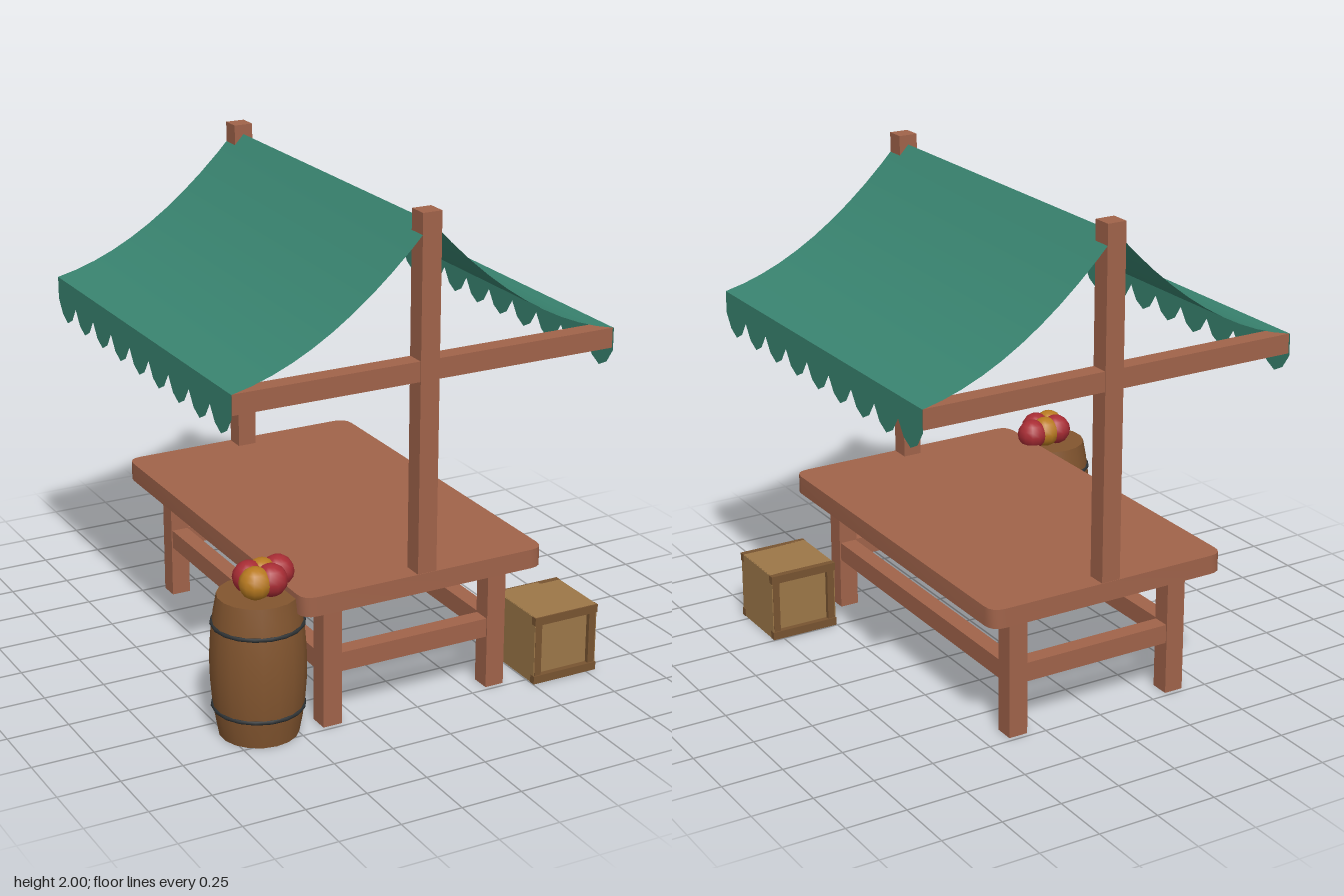
import * as THREE from 'three';
import { toCreasedNormals } from 'three/addons/utils/BufferGeometryUtils.js';

const mat = (color, side = THREE.FrontSide) => new THREE.MeshStandardMaterial({ color, side });
const WOOD = mat(0xa0634a);
const CLOTH = mat(0x398470, THREE.DoubleSide);
const BARREL = mat(0x82552f);
const IRON = mat(0x2e3234);
const CRATE = mat(0x9c7748);
const CRATE_FRAME = mat(0x785431);
const RED = mat(0xa82c34);
const ORANGE = mat(0xb87a20);

function add(parent, name, geometry, material, x = 0, y = 0, z = 0) {
  const mesh = new THREE.Mesh(geometry, material);
  mesh.name = name;
  mesh.position.set(x, y, z);
  parent.add(mesh);
  return mesh;
}

const box = (parent, name, w, h, d, material, x, y, z) =>
  add(parent, name, new THREE.BoxGeometry(w, h, d), material, x, y, z);

function group(parent, name, x = 0, y = 0, z = 0) {
  const g = new THREE.Group();
  g.name = name;
  g.position.set(x, y, z);
  parent.add(g);
  return g;
}

// Table with rounded top corners, square legs and stretchers
function buildTable(parent) {
  const table = group(parent, 'table');
  const w = 0.525, d = 0.81, r = 0.06;
  const s = new THREE.Shape();
  s.moveTo(-w + r, -d);
  s.lineTo(w - r, -d);
  s.quadraticCurveTo(w, -d, w, -d + r);
  s.lineTo(w, d - r);
  s.quadraticCurveTo(w, d, w - r, d);
  s.lineTo(-w + r, d);
  s.quadraticCurveTo(-w, d, -w, d - r);
  s.lineTo(-w, -d + r);
  s.quadraticCurveTo(-w, -d, -w + r, -d);
  const top = new THREE.ExtrudeGeometry(s, { depth: 0.078, bevelEnabled: false, curveSegments: 4 });
  top.rotateX(-Math.PI / 2);
  add(table, 'tableTop', toCreasedNormals(top, 0.6), WOOD, 0, 0.514, 0);
  for (const a of [-1, 1]) {
    for (const b of [-1, 1]) box(table, 'leg', 0.08, 0.516, 0.08, WOOD, a * 0.362, 0.258, b * 0.69);
    box(table, 'sideStretcher', 0.07, 0.078, 1.3, WOOD, a * 0.362, 0.257, 0);
    box(table, 'endStretcher', 0.644, 0.078, 0.07, WOOD, 0, 0.257, a * 0.69);
  }
}

// Two posts, each carrying a cross beam
function buildFrame(parent) {
  const frame = group(parent, 'frame');
  for (const s of [-1, 1]) {
    box(frame, 'post', 0.08, 1.42, 0.08, WOOD, 0, 1.29, s * 0.768);
    box(frame, 'crossBeam', 1.61, 0.08, 0.074, WOOD, 0, 1.4, s * 0.768);
  }
}

// Sagging cloth roof, one sheet per side, with a scalloped valance
function buildAwning(parent) {
  const awning = group(parent, 'awning');
  const reach = 0.808, half = 0.808, scallops = 9, step = (2 * half) / scallops;
  const edge = new THREE.Shape();
  edge.moveTo(-half, 1.44);
  for (let i = 0; i < scallops; i++) {
    const z = -half + i * step;
    edge.lineTo(z, 1.35);
    edge.lineTo(z + step * 0.22, 1.293);
    edge.lineTo(z + step * 0.5, 1.267);
    edge.lineTo(z + step * 0.78, 1.293);
  }
  edge.lineTo(half, 1.35);
  edge.lineTo(half, 1.44);
  for (const side of [-1, 1]) {
    const sheet = new THREE.PlaneGeometry(1, 2 * half, 10, 1);
    sheet.rotateX(-Math.PI / 2);
    const p = sheet.attributes.position;
    for (let i = 0; i < p.count; i++) {
      const t = p.getX(i) + 0.5;
      // keep the upper face outward on both sides
      const k = side > 0 ? t : 1 - t;
      p.setX(i, side * k * reach);
      p.setY(i, 1.96 - 0.52 * k - 0.36 * k * (1 - k));
    }
    sheet.computeVertexNormals();
    add(awning, 'roofSheet', sheet, CLOTH);
    const valance = new THREE.ShapeGeometry(edge);
    valance.rotateY(side * Math.PI / 2);
    add(awning, 'valance', valance, CLOTH, side * reach, 0, 0);
  }
}

// Bulging barrel with two iron hoops and a pile of fruit
function buildBarrel(parent) {
  const barrel = group(parent, 'barrel', -0.625, 0, 0.625);
  const h = 0.57;
  const radius = (y) => 0.185 - 0.03 * ((2 * y) / h - 1) ** 2;
  const profile = [new THREE.Vector2(0, 0)];
  for (let i = 0; i <= 8; i++) profile.push(new THREE.Vector2(radius((i * h) / 8), (i * h) / 8));
  profile.push(new THREE.Vector2(0, h));
  add(barrel, 'barrelBody', toCreasedNormals(new THREE.LatheGeometry(profile, 18), 0.6), BARREL);
  for (const y of [0.115, 0.455]) {
    const hoop = new THREE.TorusGeometry(radius(y), 0.008, 6, 18);
    hoop.rotateX(Math.PI / 2);
    add(barrel, 'hoop', hoop, IRON, 0, y, 0);
  }
  const fruit = [
    [-0.025, 0.035, ORANGE], [0.04, 0.035, RED], [0.1, -0.03, RED],
    [-0.02, -0.03, RED], [0.035, -0.03, ORANGE],
  ];
  for (const [x, z, m] of fruit) add(barrel, 'fruit', new THREE.SphereGeometry(0.064, 12, 8), m, x, 0.627, z);
}

// Crate with plain sides and framed, recessed front and back
function buildCrate(parent) {
  const crate = group(parent, 'crate', 0.648, 0, 0.652);
  box(crate, 'crateBody', 0.28, 0.28, 0.25, CRATE, 0, 0.142, 0);
  for (const s of [-1, 1]) {
    box(crate, 'sidePanel', 0.006, 0.284, 0.286, CRATE, s * 0.142, 0.143, 0);
    box(crate, 'lidPanel', 0.284, 0.006, 0.286, CRATE, 0, 0.143 + s * 0.14, 0);
    for (const t of [-1, 1]) {
      box(crate, 'rail', 0.292, 0.034, 0.026, CRATE_FRAME, 0, 0.143 + t * 0.126, s * 0.136);
      box(crate, 'stile', 0.03, 0.22, 0.02, CRATE_FRAME, t * 0.126, 0.143, s * 0.134);
    }
  }
}

export function createModel() {
  const model = new THREE.Group();
  model.name = 'marketStall';
  buildTable(model);
  buildFrame(model);
  buildAwning(model);
  buildBarrel(model);
  buildCrate(model);
  return model;
}
